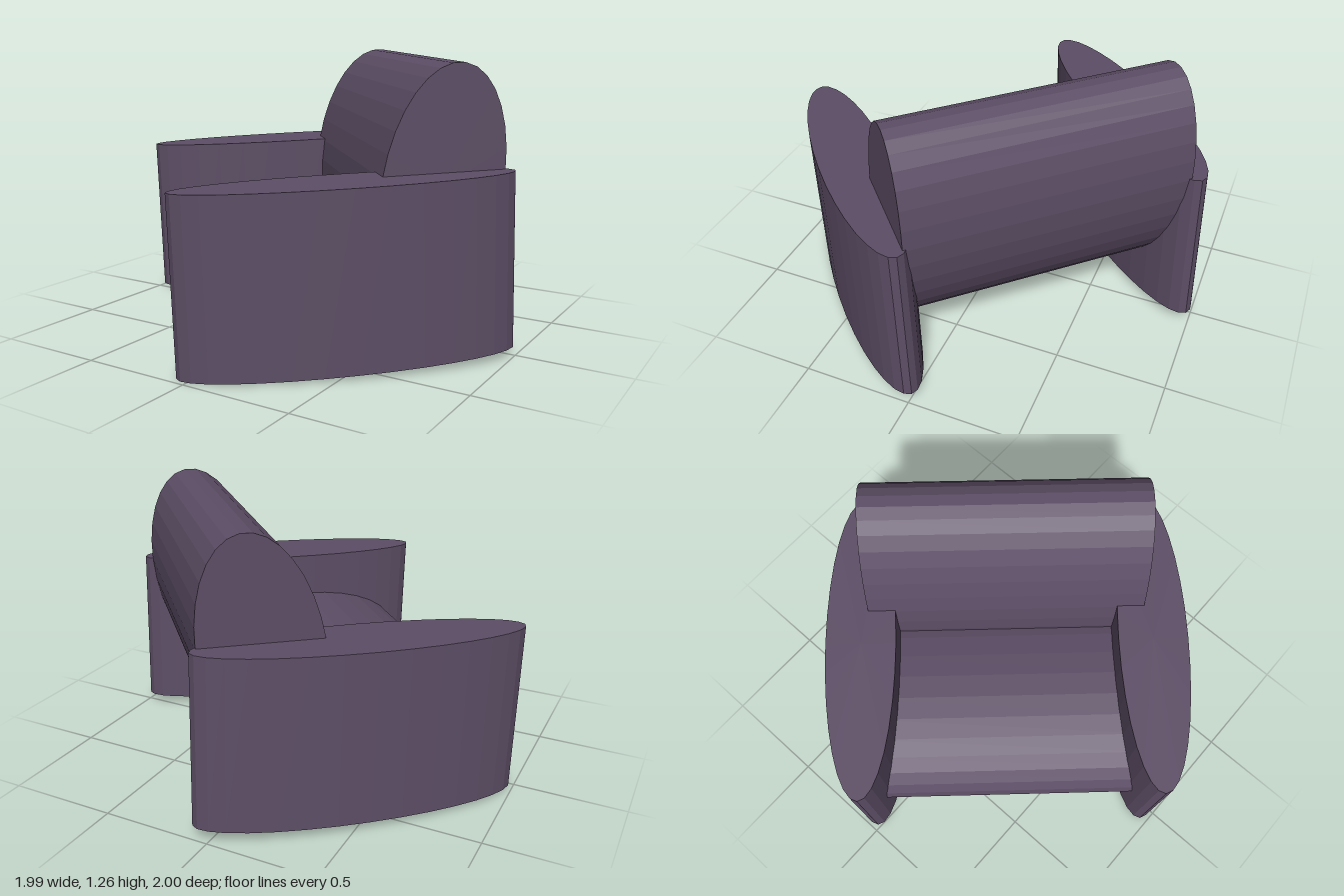
import * as THREE from 'three';

export function createModel() {
  const model = new THREE.Group();
  const chair = new THREE.Group();
  chair.name = 'armchair';
  model.add(chair);

  const material = new THREE.MeshStandardMaterial({ color: 0x5d4e66, flatShading: true });

  // Elliptical cylinder, upright by default
  const drum = (name, rx, rz, height) => {
    const geometry = new THREE.CylinderGeometry(1, 1, height, 32);
    geometry.scale(rx, 1, rz);
    const mesh = new THREE.Mesh(geometry, material);
    mesh.name = name;
    chair.add(mesh);
    return mesh;
  };

  // Cushion: the same drum laid across the chair, ry tall and rz deep
  const cushion = (name, ry, rz, y, z, lean) => {
    const mesh = drum(name, ry, rz, 1.275);
    mesh.geometry.rotateZ(Math.PI / 2);
    mesh.position.set(0, y, z);
    mesh.rotation.x = lean;
  };

  // Upright oval armrests
  for (const side of [-1, 1]) {
    const arm = drum(side > 0 ? 'leftArm' : 'rightArm', 0.16, 0.716, 0.76);
    arm.position.set(side * 0.668, 0.415, -0.012);
  }

  cushion('seat', 0.268, 0.525, 0.323, 0.088, 0);
  cushion('backrest', 0.515, 0.262, 0.737, -0.425, -0.19);

  // The chair is turned to one side and tips slightly forward
  chair.rotation.set(0.031, THREE.MathUtils.degToRad(-47), -0.0115, 'YXZ');

  // Centre it and stand it on the ground
  model.updateMatrixWorld(true);
  const box = new THREE.Box3().setFromObject(model, true);
  const center = box.getCenter(new THREE.Vector3());
  chair.position.set(-center.x, -box.min.y, -center.z);
  return model;
}
